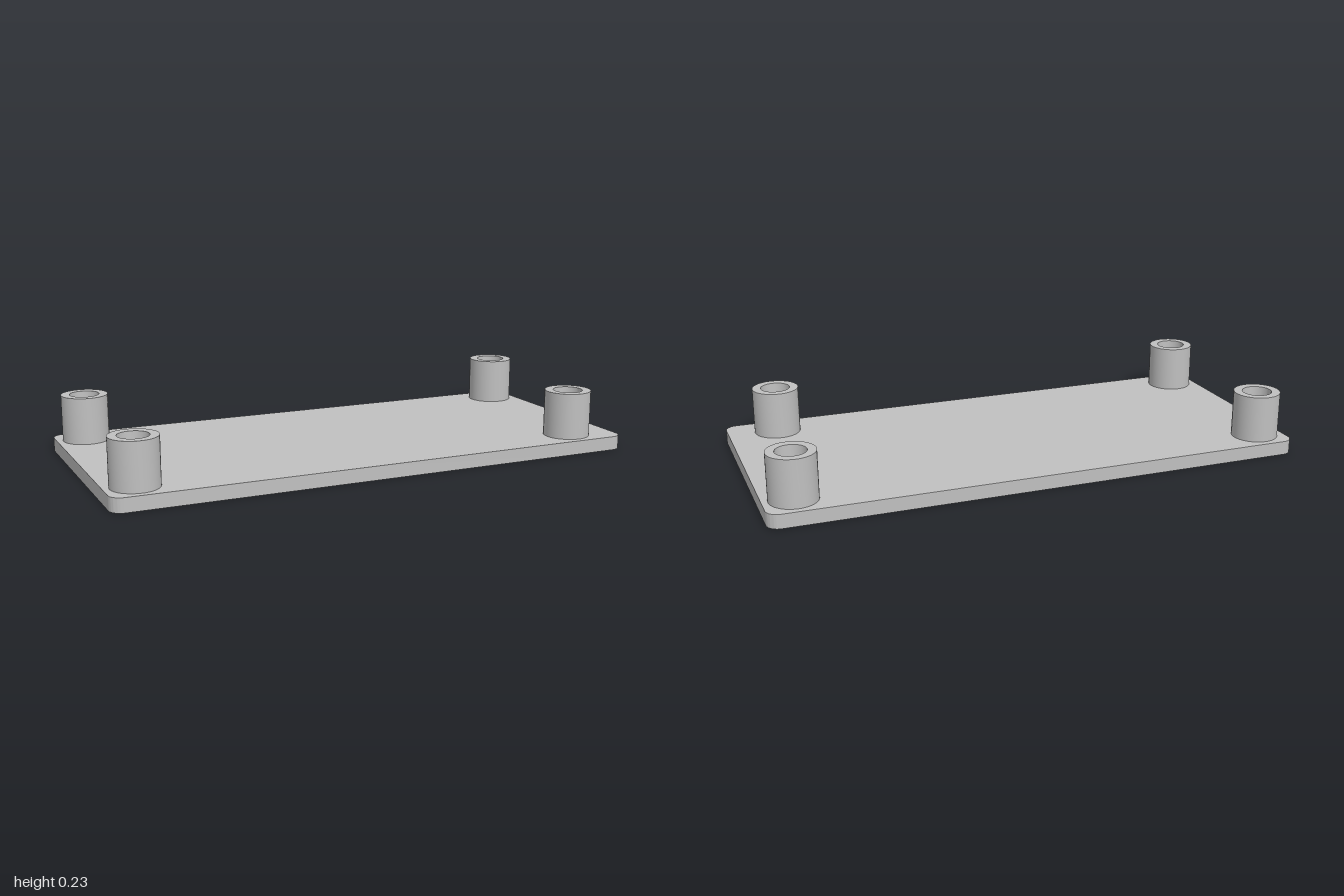
import * as THREE from 'three';
import { toCreasedNormals } from 'three/addons/utils/BufferGeometryUtils.js';

const W = 1, D = 0.457, T = 0.052, R = 0.045; // half width, half depth, thickness, corner radius
const POST_TOP = 0.227, POST_R = 0.087;

// Rounded rectangular slab lying on y = 0
function plateGeometry() {
  const s = new THREE.Shape();
  s.absarc(W - R, D - R, R, 0, Math.PI / 2);
  s.absarc(-W + R, D - R, R, Math.PI / 2, Math.PI);
  s.absarc(-W + R, -D + R, R, Math.PI, Math.PI * 1.5);
  s.absarc(W - R, -D + R, R, Math.PI * 1.5, Math.PI * 2);
  const g = new THREE.ExtrudeGeometry(s, { depth: T, bevelEnabled: false, curveSegments: 12 });
  g.rotateX(-Math.PI / 2);
  return toCreasedNormals(g, 0.6);
}

// Hollow standoff with a slightly tapered blind hole
function postGeometry() {
  const profile = [
    [POST_R, T], [POST_R, POST_TOP], [0.055, POST_TOP], [0.05, T + 0.002], [0, T + 0.002],
  ].map(([x, y]) => new THREE.Vector2(x, y));
  return toCreasedNormals(new THREE.LatheGeometry(profile, 48), 0.6);
}

export function createModel() {
  const group = new THREE.Group();
  group.name = 'mountingPlate';
  const grey = new THREE.MeshStandardMaterial({ color: 0xc0c0c0 });
  grey.name = 'lightGrey';

  const plate = new THREE.Mesh(plateGeometry(), grey);
  plate.name = 'basePlate';
  group.add(plate);

  // Four standoffs; the front left one is set further in
  const postGeo = postGeometry();
  const posts = [
    ['backRightPost', -0.891, -0.346],
    ['backLeftPost', 0.891, -0.346],
    ['frontRightPost', -0.891, 0.346],
    ['frontLeftPost', 0.813, 0.346],
  ];
  for (const [name, x, z] of posts) {
    const post = new THREE.Mesh(postGeo, grey);
    post.name = name;
    post.position.set(x, 0, z);
    group.add(post);
  }
  return group;
}
